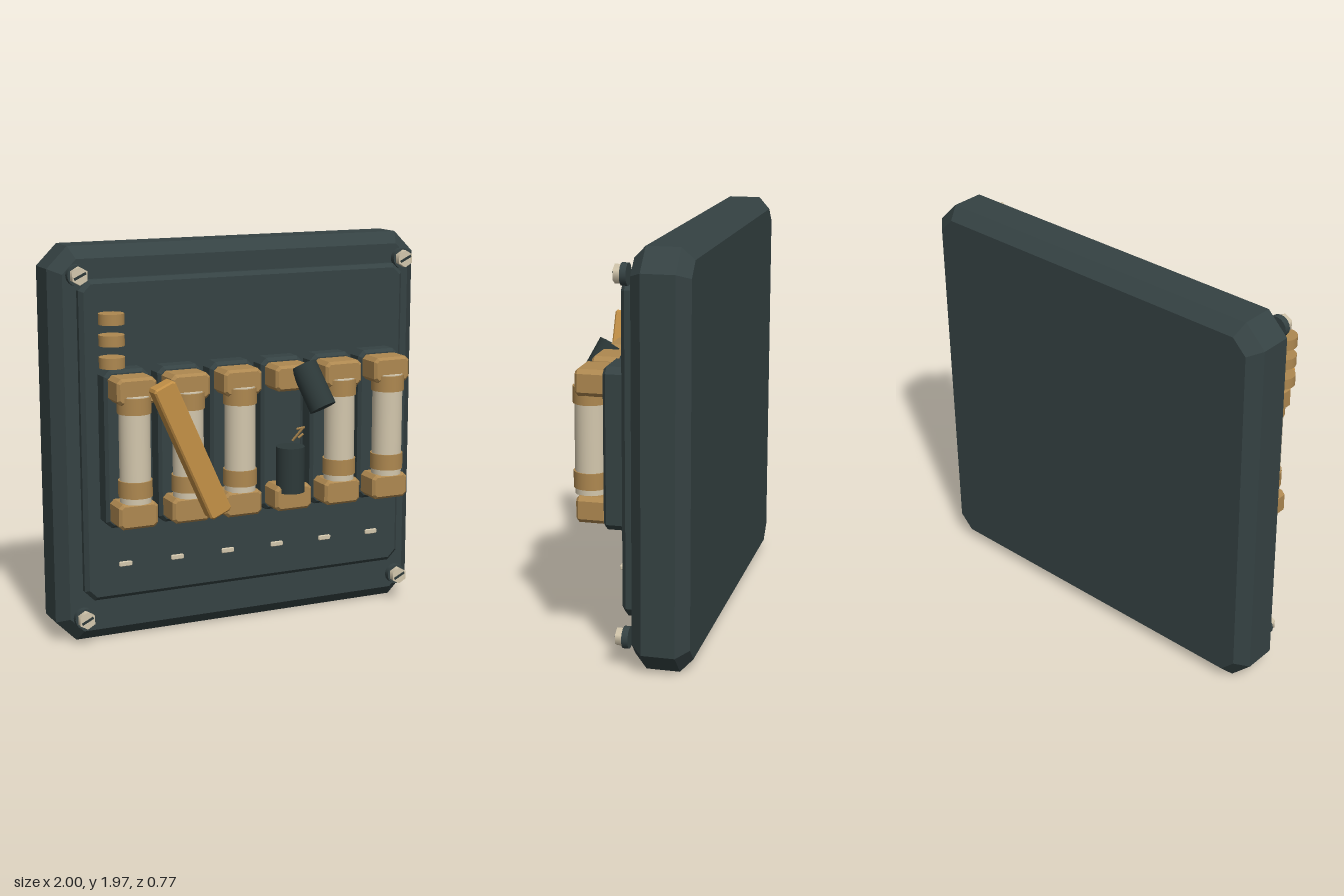
import * as THREE from 'three';

const mat = (name, color) => {
  const m = new THREE.MeshStandardMaterial({ color });
  m.name = name;
  return m;
};

// Plate with cut corners and chamfered front and back edges, centred on its origin
function chamferPlate(w, h, d, corner, bevel) {
  const x = w / 2, y = h / 2, c = corner;
  const shape = new THREE.Shape([
    [-x + c, -y], [x - c, -y], [x, -y + c], [x, y - c],
    [x - c, y], [-x + c, y], [-x, y - c], [-x, -y + c],
  ].map(p => new THREE.Vector2(...p)));
  return new THREE.ExtrudeGeometry(shape, {
    depth: d - 2 * bevel, bevelEnabled: true, bevelSegments: 1,
    bevelSize: bevel, bevelThickness: bevel, bevelOffset: -bevel,
  }).translate(0, 0, bevel - d / 2);
}

function add(parent, name, geometry, material, x = 0, y = 0, z = 0) {
  const mesh = new THREE.Mesh(geometry, material);
  mesh.name = name;
  mesh.position.set(x, y, z);
  parent.add(mesh);
  return mesh;
}

// Cylinder running between two points
function rod(parent, name, a, b, radius, sides, material) {
  const from = new THREE.Vector3(...a), to = new THREE.Vector3(...b);
  const dir = to.clone().sub(from);
  const mesh = add(parent, name, new THREE.CylinderGeometry(radius, radius, dir.length(), sides), material);
  mesh.position.copy(from).add(to).multiplyScalar(0.5);
  mesh.quaternion.setFromUnitVectors(new THREE.Vector3(0, 1, 0), dir.normalize());
  return mesh;
}

export function createModel() {
  const root = new THREE.Group();
  root.name = 'fusePanel';
  const slate = mat('slate', 0x354243);
  const charred = mat('charred', 0x2d3939);
  const brass = mat('brass', 0xae8850);
  const brightBrass = mat('brightBrass', 0xc39046);
  const cream = mat('cream', 0xd3c7ad);

  // Housing and raised front panel
  add(root, 'housing', chamferPlate(2, 1.97, 0.275, 0.105, 0.058), slate, 0, 0.985, -0.2475);
  add(root, 'frontPanel', chamferPlate(1.76, 1.59, 0.066, 0.05, 0.02), slate, 0, 1.022, -0.078);

  // Corner screws
  const washer = new THREE.CylinderGeometry(0.052, 0.052, 0.03, 16).rotateX(Math.PI / 2);
  const head = new THREE.CylinderGeometry(0.044, 0.044, 0.035, 6).rotateX(Math.PI / 2);
  const slot = new THREE.BoxGeometry(0.065, 0.012, 0.006);
  for (const x of [-0.882, 0.882]) for (const y of [0.14, 1.84]) {
    const screw = new THREE.Group();
    screw.name = 'screw';
    screw.position.set(x, y, 0);
    add(screw, 'washer', washer, slate, 0, 0, -0.072);
    add(screw, 'screwHead', head, cream, 0, 0, -0.042);
    add(screw, 'screwSlot', slot, charred, 0, 0, -0.024).rotation.z = 0.45;
    root.add(screw);
  }

  // Row of fuse holders; the fourth one has lost its fuse
  const base = chamferPlate(0.23, 0.775, 0.11, 0.03, 0.015);
  const clip = chamferPlate(0.2, 0.127, 0.145, 0.02, 0.013);
  const glass = new THREE.CylinderGeometry(0.076, 0.076, 0.52, 24);
  const cap = new THREE.CylinderGeometry(0.083, 0.083, 0.08, 24);
  const label = chamferPlate(0.068, 0.025, 0.012, 0.005, 0.003);
  for (let i = 0; i < 6; i++) {
    const holder = new THREE.Group();
    holder.name = 'fuseHolder';
    holder.position.x = (i - 2.5) * 0.275;
    add(holder, 'holderBase', base, slate, 0, 1.008, 0.008);
    add(holder, 'upperClip', clip, brass, 0, 1.312, 0.127);
    add(holder, 'lowerClip', clip, brass, 0, 0.707, 0.127);
    add(holder, 'slotMarker', label, cream, 0, 0.417, 0);
    if (i !== 3) {
      add(holder, 'fuseTube', glass, cream, 0, 1.028, 0.15);
      add(holder, 'upperCap', cap, brass, 0, 1.243, 0.15);
      add(holder, 'lowerCap', cap, brass, 0, 0.838, 0.15);
    }
    root.add(holder);
  }

  // Burnt, broken fuse in the fourth holder
  rod(root, 'lowerFuseStub', [0.13, 0.735, 0.168], [0.13, 0.965, 0.168], 0.072, 24, charred);
  rod(root, 'upperFuseStub', [0.19, 1.37, 0.185], [0.248, 1.17, 0.287], 0.068, 24, charred);
  const strands = [
    [[0.125, 1.0, 0.2], [0.165, 1.065, 0.232]],
    [[0.14, 1.06, 0.215], [0.175, 1.07, 0.235]],
    [[0.15, 1.015, 0.215], [0.175, 1.035, 0.22]],
  ];
  for (const [a, b] of strands) rod(root, 'wireStrand', a, b, 0.006, 6, brass);

  // Loose brass bar leaning across the fuses
  add(root, 'looseBar', chamferPlate(0.115, 0.71, 0.085, 0.012, 0.008), brightBrass, -0.482, 1.042, 0.3425).rotation.z = 0.42;

  // Stack of spare contact discs
  const disc = new THREE.CylinderGeometry(0.062, 0.062, 0.052, 24);
  for (const y of [1.653, 1.552, 1.447]) add(root, 'contactDisc', disc, brass, -0.783, y, 0.118);

  return root;
}
